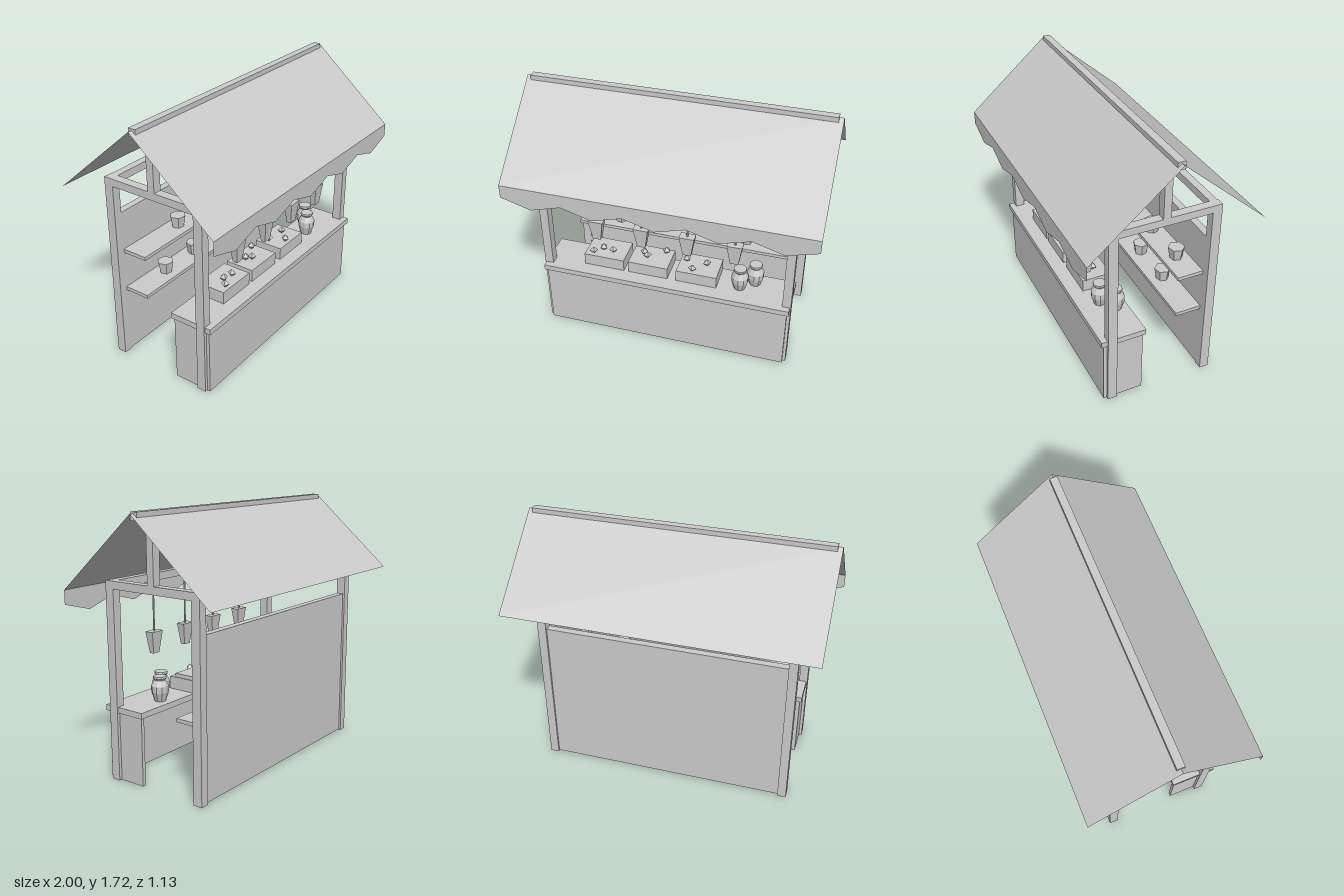
import * as THREE from 'three';

const mat = new THREE.MeshStandardMaterial({ color: 0xcccccc, flatShading: true });
const sheetMat = new THREE.MeshStandardMaterial({ color: 0xcccccc, flatShading: true, side: THREE.DoubleSide });

export function createModel() {
  const root = new THREE.Group();

  const add = (name, geo, x = 0, y = 0, z = 0, parent = root, material = mat) => {
    const mesh = new THREE.Mesh(geo, material);
    mesh.name = name;
    mesh.position.set(x, y, z);
    parent.add(mesh);
    return mesh;
  };
  // Box given by its lower and upper limits on each axis
  const box = (name, [x0, x1], [y0, y1], [z0, z1], parent = root) =>
    add(name, new THREE.BoxGeometry(x1 - x0, y1 - y0, z1 - z0),
      (x0 + x1) / 2, (y0 + y1) / 2, (z0 + z1) / 2, parent);
  const group = (name) => {
    const g = new THREE.Group();
    g.name = name;
    root.add(g);
    return g;
  };

  // Timber frame
  const frame = group('frame');
  for (const s of [-1, 1]) {
    const xs = s < 0 ? [-0.847, -0.79] : [0.79, 0.847];
    box('frontPost', xs, [0, 1.28], [0.303, 0.365], frame);
    box('backPost', xs, [0, 1.28], [-0.365, -0.303], frame);
    box('sideBeam', xs, [1.23, 1.28], [-0.303, 0.303], frame);
    box('kingPost', xs, [1.28, 1.69], [-0.025, 0.025], frame);
    const zc = s * 0.334;
    box('longBeam', [-0.79, 0.79], [1.23, 1.28], [zc - 0.025, zc + 0.025], frame);
  }
  box('ridgeBeam', [-0.97, 0.97], [1.665, 1.715], [-0.025, 0.025], frame);

  // Thin cloth roof slopes
  const ridgeY = 1.705, eaveY = 1.22, eaveZ = 0.563;
  const slope = Math.atan2(ridgeY - eaveY, eaveZ);
  for (const s of [-1, 1]) {
    const geo = new THREE.PlaneGeometry(2, Math.hypot(ridgeY - eaveY, eaveZ));
    geo.rotateX(-Math.PI / 2).rotateX(s * slope);
    add(s > 0 ? 'frontRoof' : 'backRoof', geo, 0, (ridgeY + eaveY) / 2, s * eaveZ / 2, root, sheetMat);
  }

  // Zigzag valance along the front eave
  const edge = new THREE.Shape();
  edge.moveTo(-1, eaveY);
  for (let i = 0; i <= 10; i++) edge.lineTo(-1 + i * 0.2, i % 2 ? 1.07 : 1.13);
  edge.lineTo(1, eaveY);
  add('valance', new THREE.ShapeGeometry(edge), 0, 0, eaveZ, root, sheetMat);

  // Counter, open at the back
  const counter = group('counter');
  box('counterTop', [-0.84, 0.84], [0.447, 0.485], [0.105, 0.405], counter);
  box('counterFront', [-0.803, 0.803], [0, 0.447], [0.362, 0.386], counter);
  box('counterSide', [-0.827, -0.803], [0, 0.447], [0.12, 0.386], counter);
  box('counterSide', [0.803, 0.827], [0, 0.447], [0.12, 0.386], counter);

  // Back wall and shelves with pots
  box('backWall', [-0.79, 0.79], [0.005, 1.03], [-0.352, -0.305]);
  const potGeo = new THREE.CylinderGeometry(0.055, 0.041, 0.08, 6);
  const shelves = [
    { top: 0.77, pots: [-0.36, -0.04, 0.27, 0.595] },
    { top: 0.49, pots: [-0.5, -0.2, 0.12, 0.435] },
  ];
  for (const { top, pots } of shelves) {
    box('shelf', [-0.79, 0.79], [top - 0.024, top], [-0.305, -0.13]);
    pots.forEach((x, i) => {
      add('pot', potGeo, x, top + 0.04, -0.222).rotation.y = 0.3 + i * 0.5;
    });
  }

  // Crates of produce: each fruit is [x, z]
  const fruitGeo = new THREE.OctahedronGeometry(0.028);
  const crates = [
    { x: [-0.578, -0.3], fruit: [[-0.52, 0.28], [-0.465, 0.23], [-0.395, 0.24]] },
    { x: [-0.268, 0.005], fruit: [[-0.185, 0.2], [-0.155, 0.23], [-0.045, 0.15]] },
    { x: [0.065, 0.34], fruit: [[0.11, 0.19], [0.17, 0.28], [0.25, 0.2]] },
  ];
  crates.forEach((c, i) => {
    box('crate', c.x, [0.485, 0.568], [0.11, 0.31]);
    c.fruit.forEach(([x, z], j) => {
      add('fruit', fruitGeo, x, 0.593, z).rotation.y = 0.4 + i + j * 0.7;
    });
  });

  // Jars
  const jarProfile = [[0, 0], [0.037, 0], [0.056, 0.06], [0.057, 0.1], [0.036, 0.138],
    [0.044, 0.15], [0.042, 0.162], [0, 0.162]].map(([r, y]) => new THREE.Vector2(r, y));
  const jarGeo = new THREE.LatheGeometry(jarProfile, 10);
  for (const [x, z] of [[0.487, 0.258], [0.577, 0.188]]) add('jar', jarGeo, x, 0.485, z);

  // Tapered goods hung on cords from the front beam
  const hangGeo = new THREE.CylinderGeometry(0.05 * Math.SQRT2, 0.027 * Math.SQRT2, 0.145, 4, 1)
    .rotateY(Math.PI / 4).scale(1, 1, 0.6);
  const cordGeo = new THREE.CylinderGeometry(0.006, 0.006, 0.36, 6);
  for (const x of [-0.463, -0.156, 0.15, 0.46]) {
    add('hangingGoods', hangGeo, x, 0.825, 0.334);
    add('cord', cordGeo, x, 1.07, 0.334);
  }

  return root;
}
